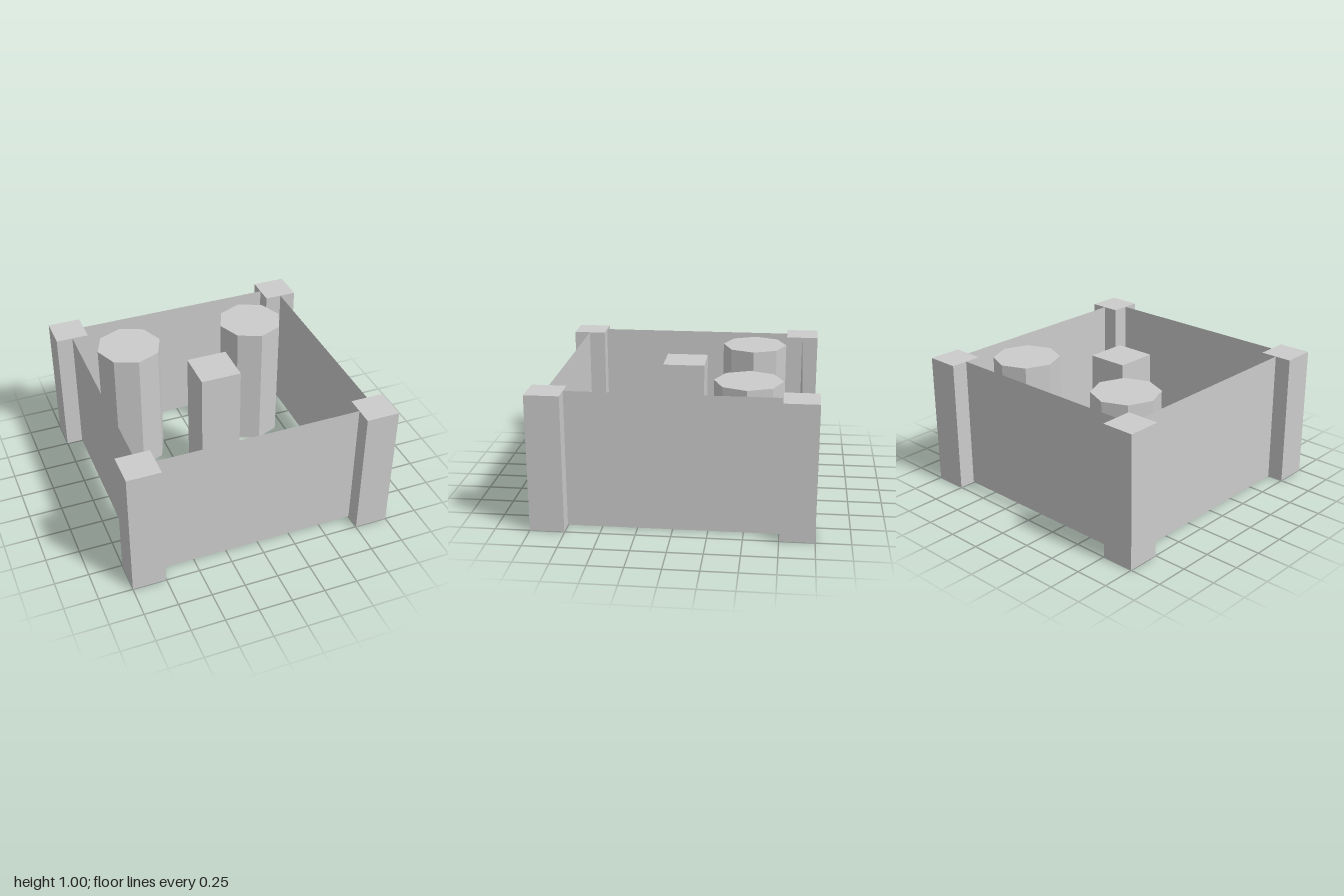
import * as THREE from 'three';

const material = new THREE.MeshStandardMaterial({
  color: 0xcccccc, flatShading: true, side: THREE.DoubleSide,
});

// Keep only the first triangles of a solid, leaving its bottom open
function openBottom(geometry, from, count) {
  const index = Array.from(geometry.index.array);
  index.splice(from, count);
  geometry.setIndex(index);
  geometry.clearGroups();
  return geometry;
}

// Square column, without its underside
const squareColumn = (width) =>
  openBottom(new THREE.BoxGeometry(width, 1, width), 18, 6);

// Eight-sided column, without its underside
const octagonColumn = (radius) =>
  openBottom(new THREE.CylinderGeometry(radius, radius, 1, 8), 72, 24);

export function createModel() {
  const model = new THREE.Group();
  model.name = 'walledCourt';

  const add = (name, geometry, x, z, turn = 0) => {
    const mesh = new THREE.Mesh(geometry, material);
    mesh.name = name;
    mesh.position.set(x, 0.5, z);
    mesh.rotation.y = turn;
    model.add(mesh);
  };

  const postWidth = 0.247;
  const postCentre = 1 - postWidth / 2;
  const wallLength = 2 * (1 - postWidth);

  // Corner posts
  const post = squareColumn(postWidth);
  for (const [side, sx] of [['Left', 1], ['Right', -1]]) {
    for (const [end, sz] of [['front', 1], ['back', -1]]) {
      add(`${end}${side}Post`, post, sx * postCentre, sz * postCentre);
    }
  }

  // Thin walls running between the posts
  const wall = new THREE.PlaneGeometry(wallLength, 1);
  ['front', 'left', 'back', 'right'].forEach((name, i) => {
    const turn = i * Math.PI / 2;
    add(`${name}Wall`, wall, Math.sin(turn) * postCentre, Math.cos(turn) * postCentre, turn);
  });

  // Pair of octagonal pillars towards the back, and the central pillar
  const pillar = octagonColumn(0.248);
  add('leftPillar', pillar, 0.5, -0.502);
  add('rightPillar', pillar, -0.5, -0.502);
  add('centrePillar', squareColumn(0.307), 0, -0.002);

  return model;
}
